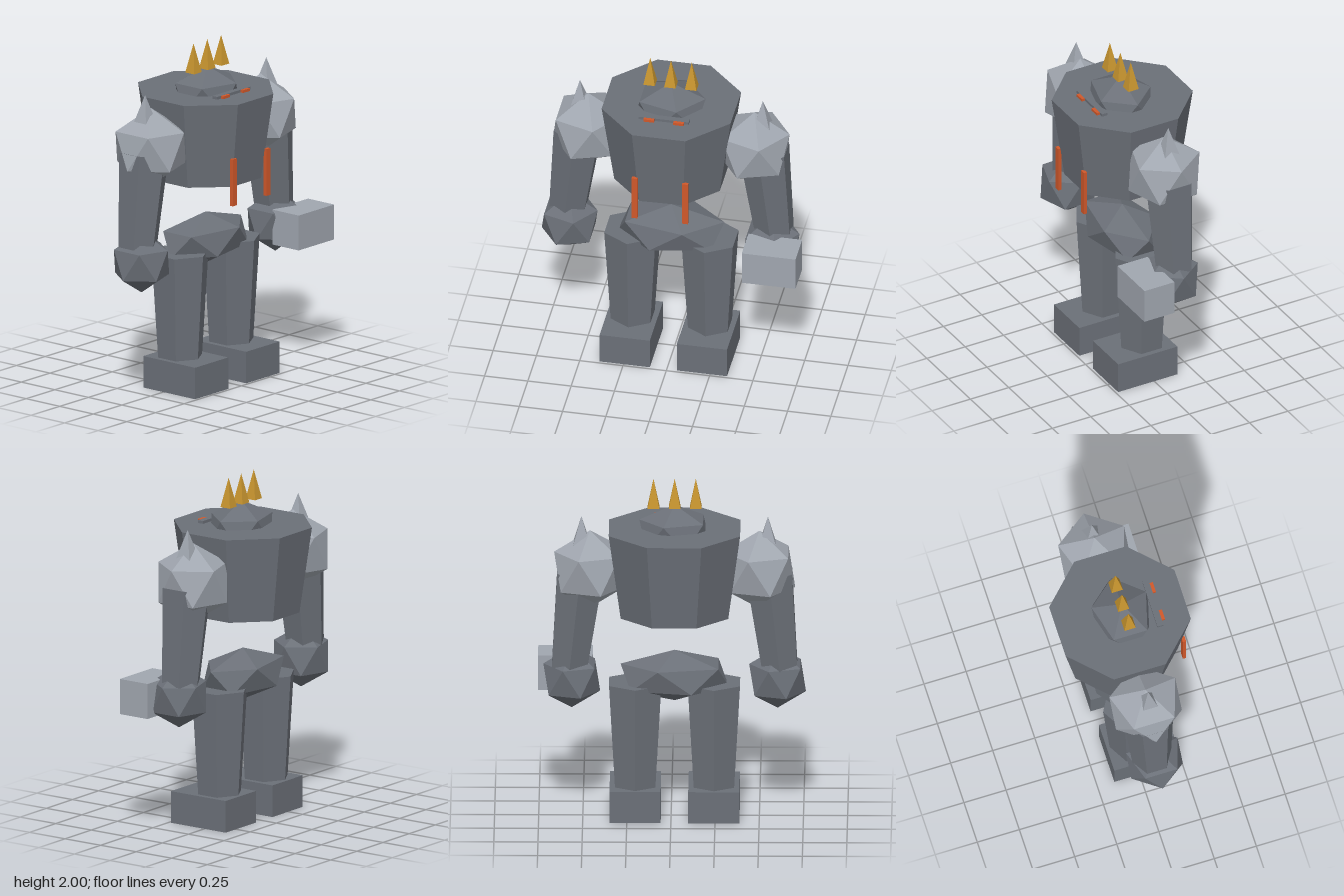
import * as THREE from 'three';
import { ConvexGeometry } from 'three/addons/geometries/ConvexGeometry.js';

const MID = -0.02; // symmetry line of the body

export function createModel() {
  const root = new THREE.Group();
  root.name = 'stoneGolem';

  const material = (name, color) => {
    const m = new THREE.MeshStandardMaterial({ color });
    m.name = name;
    return m;
  };
  const stone = material('dark stone', 0x6b7078);
  const paleStone = material('pale stone', 0xa0a6af);
  const gold = material('gold', 0xc8952f);
  const glow = material('glowing orange', 0xd0582a);

  const add = (name, geometry, mat, x, y, z) => {
    const flat = geometry.index ? geometry.toNonIndexed() : geometry;
    flat.computeVertexNormals();
    const mesh = new THREE.Mesh(flat, mat);
    mesh.name = name;
    mesh.position.set(x, y, z);
    root.add(mesh);
    return mesh;
  };

  // Twenty-sided boulder standing on a point, with a radius for each axis
  const boulder = (rx, ry, rz) => {
    const points = [new THREE.Vector3(0, ry, 0), new THREE.Vector3(0, -ry, 0)];
    for (let i = 0; i < 5; i++) {
      for (const up of [1, -1]) {
        const a = (i * 2 * Math.PI) / 5 + (up < 0 ? Math.PI : 0);
        points.push(new THREE.Vector3(
          0.8944 * rx * Math.cos(a), 0.4472 * ry * up, 0.8944 * rz * Math.sin(a)));
      }
    }
    return new ConvexGeometry(points);
  };
  const prism = (top, bottom, height, sides) =>
    new THREE.CylinderGeometry(top, bottom, height, sides);
  const spike = (r, h) => new THREE.ConeGeometry(r, h, 4).rotateY(Math.PI / 4);
  const box = (w, h, d) => new THREE.BoxGeometry(w, h, d);

  // Trunk and head
  add('torso', prism(0.403, 0.33, 0.5, 8).rotateY(Math.PI / 8), stone, MID, 1.46, 0);
  add('hips', boulder(0.343, 0.15, 0.2), stone, MID, 0.835, 0);
  add('head', boulder(0.224, 0.16, 0.19), stone, MID, 1.685, 0.012);
  add('brow', box(0.29, 0.06, 0.036), stone, MID - 0.003, 1.696, 0.194);

  // Crown of three spikes
  for (const i of [-1, 0, 1]) {
    add('crownSpike', spike(0.047, 0.17), gold, MID + i * 0.12, 1.915, 0.012);
  }

  // Mirrored parts: the model's left is +x
  for (const s of [-1, 1]) {
    const side = s > 0 ? 'left' : 'right';
    const at = (x) => MID + s * x;

    add(side + 'Eye', box(0.06, 0.035, 0.03), glow, at(0.086), 1.708, 0.216);
    add(side + 'ChestRune', box(0.034, 0.275, 0.02), glow, at(0.146), 1.247, 0.332);

    // Arm
    add(side + 'Shoulder', boulder(0.227, 0.23, 0.23), paleStone, at(0.48), 1.465, 0);
    add(side + 'ShoulderSpike', spike(0.08, 0.2), paleStone, at(0.528), 1.68, 0);
    const arm = add(side + 'Arm', prism(0.15, 0.115, 0.56, 6), stone, at(0.566), 1.165, 0);
    arm.rotation.z = s * 0.107;
    add(side + 'Fist', boulder(0.18, 0.18, 0.18), stone, at(0.583), 0.815, 0.02);

    // Leg
    add(side + 'Leg', prism(0.171, 0.132, 0.615, 6), stone, at(0.223), 0.4875, 0);
    add(side + 'Foot', box(0.29, 0.185, 0.385), stone, at(0.223), 0.0925, 0.0425);
  }

  // Block held in the left fist
  add('hammerBlock', box(0.31, 0.205, 0.195), paleStone, 0.6, 0.8125, 0.1975);

  return root;
}
